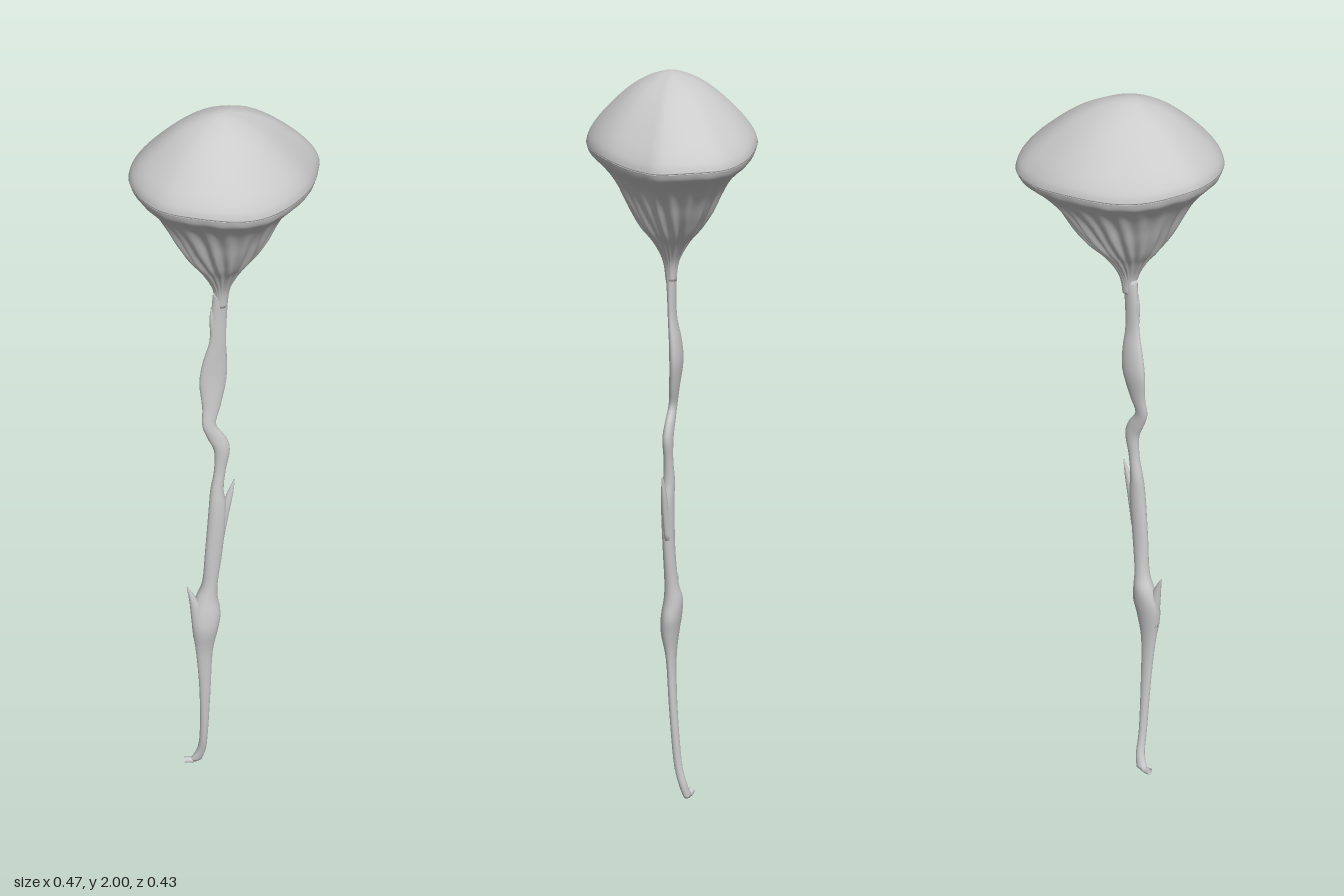
import * as THREE from 'three';

const material = new THREE.MeshStandardMaterial({ color: 0xcccccc, side: THREE.DoubleSide });

// Skin a list of closed rings (bottom to top, counter-clockwise from above), closing both ends
function loft(name, rings) {
  const n = rings[0].length, pos = [], idx = [];
  rings.forEach(r => r.forEach(p => pos.push(p.x, p.y, p.z)));
  for (let i = 0; i < rings.length - 1; i++) {
    for (let j = 0; j < n; j++) {
      const k = (j + 1) % n, a = i * n + j, b = i * n + k;
      idx.push(a, b, a + n, b, b + n, a + n);
    }
  }
  [rings[0], rings[rings.length - 1]].forEach((ring, end) => {
    const c = ring.reduce((s, p) => s.add(p), new THREE.Vector3()).divideScalar(n);
    const ci = pos.length / 3, base = end ? (rings.length - 1) * n : 0;
    pos.push(c.x, c.y, c.z);
    for (let j = 0; j < n; j++) {
      const a = base + j, b = base + (j + 1) % n;
      if (end) idx.push(a, b, ci); else idx.push(b, a, ci);
    }
  });
  const g = new THREE.BufferGeometry();
  g.setAttribute('position', new THREE.Float32BufferAttribute(pos, 3));
  g.setIndex(idx);
  g.computeVertexNormals();
  const mesh = new THREE.Mesh(g, material);
  mesh.name = name;
  return mesh;
}

// Smoothly resample rows of numbers
function resample(rows, steps) {
  const out = [], dims = rows[0].length;
  for (let i = 0; i < rows.length - 1; i++) {
    for (let s = 0; s < steps; s++) out.push(mix(i, s / steps));
  }
  out.push(rows[rows.length - 1]);
  return out;
  function mix(i, t) {
    const at = k => rows[Math.max(0, Math.min(rows.length - 1, k))];
    return Array.from({ length: dims }, (_, d) => {
      const [a, b, c, e] = [at(i - 1)[d], at(i)[d], at(i + 1)[d], at(i + 2)[d]];
      return 0.5 * (2 * b + (c - a) * t + (2 * a - 5 * b + 4 * c - e) * t * t + (3 * b - a - 3 * c + e) * t ** 3);
    });
  }
}

// Irregular outline of the head seen from above
const outline = new THREE.CatmullRomCurve3([
  [0.235, -0.05], [0.215, -0.12], [0.17, -0.18], [0.1, -0.208], [0.03, -0.215], [-0.06, -0.2],
  [-0.14, -0.16], [-0.2, -0.1], [-0.237, 0], [-0.2, 0.13], [-0.1, 0.2], [-0.01, 0.212],
  [0.08, 0.18], [0.16, 0.11], [0.22, 0.0],
].map(([x, z]) => new THREE.Vector3(x, 0, z)), true).getSpacedPoints(160).slice(0, 160);

// Head ring: scaled outline, drifting towards the stalk as it narrows, optionally pleated
function headRing([y, s], pleat) {
  return outline.map((p, j) => {
    const t = j / outline.length * Math.PI * 2;
    const fold = Math.sin(22 * t + 9 * s) + 0.6 * Math.sin(13 * t - 5 * s);
    const k = s * (1 + pleat * fold * Math.max(0, 1 - s) * Math.min(1, s * 2.5));
    return new THREE.Vector3(
      -0.02 * (1 - s) + p.x * k,
      y - 0.06 * p.x * s * s + 0.003 * s * s * Math.sin(5 * t),
      0.005 * (1 - s) + p.z * k);
  });
}

// Stalk ring from its x and z extents
function ellipse([y, x0, x1, z0, z1], n = 20) {
  return Array.from({ length: n }, (_, j) => {
    const t = j / n * Math.PI * 2;
    return new THREE.Vector3((x0 + x1) / 2 + Math.cos(t) * (x1 - x0) / 2, y,
      (z0 + z1) / 2 - Math.sin(t) * (z1 - z0) / 2);
  });
}

export function createModel() {
  const model = new THREE.Group();
  model.name = 'stalkedCap';

  // Domed cap
  const cap = [[1.83, 1], [1.85, 0.97], [1.88, 0.87], [1.92, 0.69], [1.955, 0.5], [1.98, 0.31], [1.996, 0.12], [2, 0.01]];
  model.add(loft('cap', resample(cap, 5).map(r => headRing(r, 0))));

  // Pleated funnel under the cap
  const funnel = [[1.48, 0.065], [1.53, 0.1], [1.58, 0.22], [1.62, 0.36], [1.67, 0.5], [1.72, 0.62],
    [1.76, 0.74], [1.79, 0.87], [1.81, 0.965], [1.83, 1]];
  model.add(loft('pleatedUnderside', resample(funnel, 5).map(r => headRing(r, 0.07))));

  // Uneven stalk: y, x from, x to, z from, z to
  const stalk = [
    [0.01, -0.105, -0.07, -0.03, -0.01], [0.05, -0.087, -0.062, -0.022, 0],
    [0.12, -0.082, -0.06, -0.008, 0.014], [0.28, -0.085, -0.055, 0.004, 0.026],
    [0.42, -0.095, -0.05, 0.008, 0.034], [0.5, -0.105, -0.036, 0, 0.047],
    [0.55, -0.105, -0.028, -0.008, 0.045], [0.6, -0.092, -0.034, -0.012, 0.037],
    [0.65, -0.075, -0.034, -0.003, 0.033], [0.75, -0.068, -0.022, 0.003, 0.034],
    [0.88, -0.058, -0.012, 0.002, 0.035], [0.94, -0.052, -0.018, 0, 0.03],
    [1.0, -0.042, -0.012, 0.002, 0.026], [1.06, -0.042, -0.001, 0, 0.027],
    [1.1, -0.058, -0.012, 0, 0.024], [1.14, -0.071, -0.036, 0, 0.021],
    [1.19, -0.069, -0.022, -0.008, 0.016], [1.26, -0.074, -0.005, -0.018, 0.012],
    [1.32, -0.065, -0.004, -0.015, 0.012], [1.38, -0.05, -0.008, -0.006, 0.014],
    [1.45, -0.046, -0.006, -0.006, 0.016], [1.52, -0.04, -0.002, -0.01, 0.02],
  ];
  model.add(loft('stalk', resample(stalk, 4).map(r => ellipse(r))));

  // Torn slivers peeling off the stalk
  const slivers = {
    upperSliver: [[0.78, -0.045, -0.018, 0.008, 0.026], [0.87, -0.025, -0.003, 0.01, 0.027],
      [0.92, -0.012, 0.006, 0.012, 0.025], [0.965, 0.008, 0.011, 0.016, 0.02]],
    lowerSliver: [[0.48, -0.103, -0.075, 0.01, 0.035], [0.56, -0.109, -0.078, 0.01, 0.034],
      [0.6, -0.112, -0.09, 0.012, 0.03], [0.645, -0.118, -0.114, 0.016, 0.021]],
    topSliver: [[1.38, -0.046, -0.03, 0, 0.012], [1.44, -0.05, -0.034, 0, 0.012],
      [1.475, -0.047, -0.044, 0.004, 0.008]],
  };
  for (const [name, rows] of Object.entries(slivers)) {
    model.add(loft(name, resample(rows, 4).map(r => ellipse(r, 10))));
  }

  // Curled foot
  const path = new THREE.CatmullRomCurve3([[-0.076, 0.04, -0.012], [-0.083, 0.016, -0.018],
    [-0.1, 0.009, -0.021], [-0.118, 0.013, -0.022]].map(p => new THREE.Vector3(...p)));
  const foot = new THREE.Mesh(new THREE.TubeGeometry(path, 12, 0.009, 10), material);
  foot.name = 'foot';
  model.add(foot);

  return model;
}
